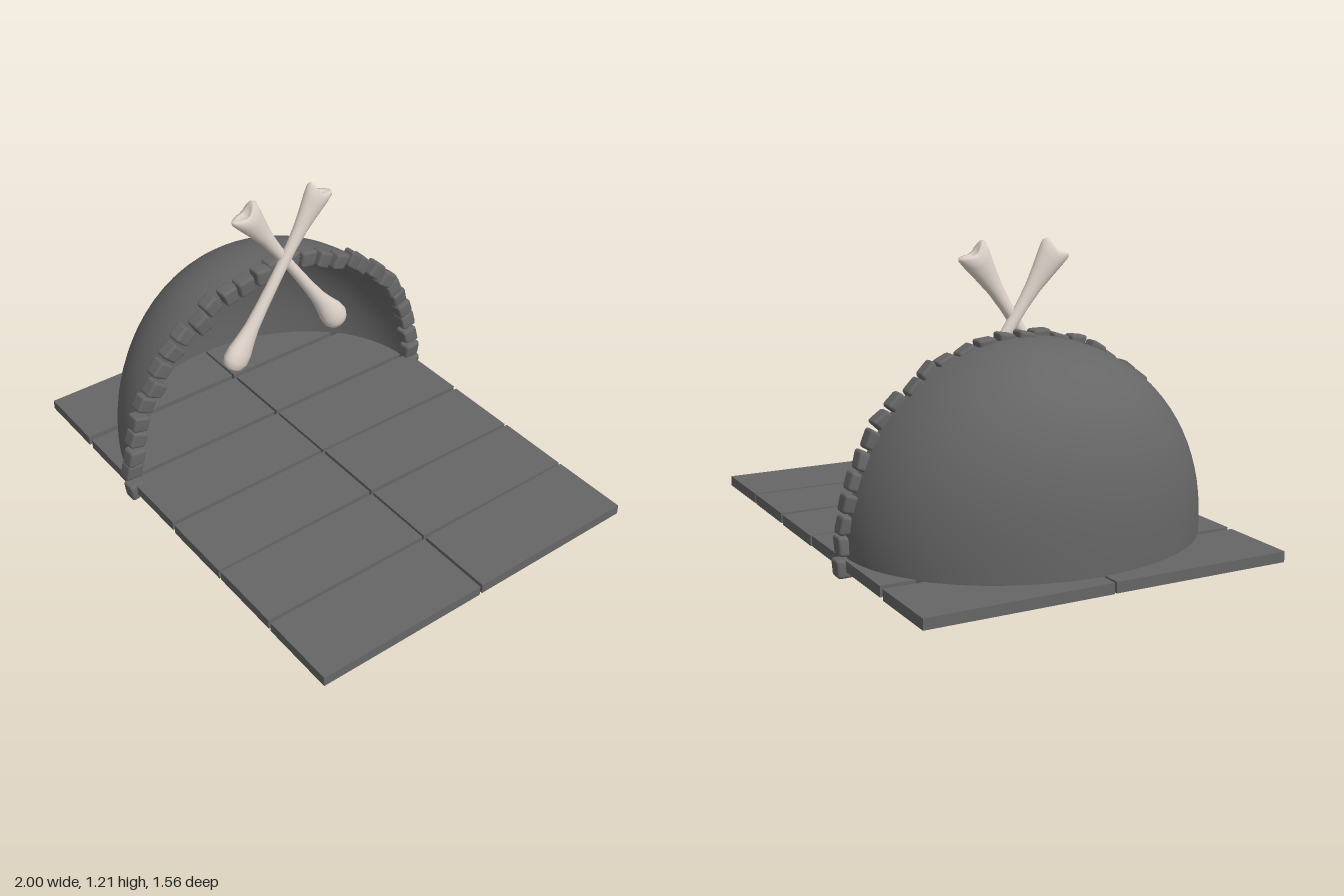
import * as THREE from 'three';
import { mergeVertices } from 'three/addons/utils/BufferGeometryUtils.js';
import { RoundedBoxGeometry } from 'three/addons/geometries/RoundedBoxGeometry.js';

const stoneMat = new THREE.MeshStandardMaterial({ color: 0x666666 });
const shellMat = new THREE.MeshStandardMaterial({ color: 0x666666, side: THREE.DoubleSide });
const boneMat = new THREE.MeshStandardMaterial({ color: 0xe0d5cc });

// Small seeded random in -1..1
let seed = 7;
const jitter = (amount) => {
  seed = (seed * 16807) % 2147483647;
  return ((seed / 2147483647) * 2 - 1) * amount;
};

function addMesh(parent, name, geometry, material) {
  const mesh = new THREE.Mesh(geometry, material);
  mesh.name = name;
  parent.add(mesh);
  return mesh;
}

// Smooth surface through a grid of points; point(i, j) returns [x, y, z]
function gridSurface(ni, nj, point) {
  const positions = [], index = [];
  for (let i = 0; i <= ni; i++) {
    for (let j = 0; j <= nj; j++) {
      positions.push(...point(i, j));
      if (i < ni && j < nj) {
        const a = i * (nj + 1) + j, b = a + nj + 1;
        index.push(a, b, a + 1, b, b + 1, a + 1);
      }
    }
  }
  const g = new THREE.BufferGeometry();
  g.setAttribute('position', new THREE.Float32BufferAttribute(positions, 3));
  g.setIndex(index);
  const merged = mergeVertices(g, 1e-5);
  merged.computeVertexNormals();
  return merged;
}

// Half dome, open towards +x: a thin shell, fuller at the back than at the rim
function domeGeometry() {
  const rows = 24, base = 0.02, mid = 0.12;
  return gridSurface(40, rows * 2 + 2, (i, j) => {
    const theta = (i / 40 - 0.5) * Math.PI;
    const inner = j > rows && j < rows * 2 + 2;
    const k = j <= rows ? j : inner ? rows * 2 + 1 - j : 0;
    const s = inner ? 0.975 : 1;
    const low = -Math.asin((mid - base) / 0.73);
    const a = low + (Math.PI / 2 - low) * (k / rows);
    const t = k === rows ? 1 : Math.sin(a);
    const y = k === 0 ? base : mid + 0.73 * t * s;
    const p = 2 + 0.6 * Math.cos(theta) ** 2;
    const f = Math.max(0, 1 - Math.abs(t) ** p) ** (1 / p);
    return [-0.32 - 0.605 * s * f * Math.cos(theta), y, 0.73 * s * f * Math.sin(theta)];
  });
}

// Rough arch stone, wider on its outer side
function archStone() {
  const g = new RoundedBoxGeometry(0.066, 0.072, 0.07, 2, 0.013);
  const pos = g.attributes.position;
  const flare = 2.2 + jitter(1.2), skew = jitter(0.2), lean = jitter(0.15);
  for (let i = 0; i < pos.count; i++) {
    const x = pos.getX(i), y = pos.getY(i), z = pos.getZ(i);
    pos.setXYZ(i, x + lean * z, y + skew * z, z * (1 + flare * y));
  }
  g.computeVertexNormals();
  return mergeNormals(g);
}

function mergeNormals(g) {
  g.deleteAttribute('uv');
  g.deleteAttribute('normal');
  const m = mergeVertices(g, 1e-5);
  m.computeVertexNormals();
  return m;
}

// Long bone from a knuckle (bottom) to a notched head (top)
function boneGeometry(bottom, top) {
  // position along the bone, half width, half depth
  const rings = [
    [0.005, 0, 0], [0, 0.025, 0.02], [0.015, 0.046, 0.035], [0.05, 0.058, 0.043], [0.1, 0.056, 0.041],
    [0.16, 0.044, 0.034], [0.24, 0.032, 0.028], [0.36, 0.026, 0.025], [0.52, 0.023, 0.023],
    [0.68, 0.025, 0.023], [0.78, 0.032, 0.026], [0.87, 0.046, 0.032], [0.94, 0.06, 0.038],
    [0.98, 0.066, 0.038], [1.0, 0.058, 0.03], [1.0, 0.035, 0.018], [0.985, 0, 0],
  ];
  const axis = top.clone().sub(bottom);
  const side = new THREE.Vector3(1, 0, 0).cross(axis).normalize();
  const depth = new THREE.Vector3(1, 0, 0);
  const n = 18;
  return gridSurface(n, rings.length - 1, (i, j) => {
    const [t, w, d] = rings[j];
    const a = ((i % n) / n) * Math.PI * 2;
    const notch = t > 0.93 ? 0.035 * Math.abs(Math.cos(a)) * (w / 0.066) - 0.02 : 0;
    return bottom.clone()
      .addScaledVector(axis, t + notch)
      .addScaledVector(side, w * Math.cos(a))
      .addScaledVector(depth, d * Math.sin(a))
      .toArray();
  });
}

export function createModel() {
  seed = 7;
  const model = new THREE.Group();
  model.name = 'stoneShelter';

  // Paved floor: six columns by two rows of slabs
  const floor = new THREE.Group();
  floor.name = 'floor';
  model.add(floor);
  const columns = [[-1, -0.68], [-0.655, -0.345], [-0.325, -0.005], [0.01, 0.328], [0.342, 0.66], [0.672, 1]];
  columns.forEach(([x0, x1], c) => {
    for (const row of [-1, 1]) {
      const slab = addMesh(floor, 'floorSlab', new THREE.BoxGeometry(x1 - x0, 0.042, 0.742), stoneMat);
      slab.position.set((x0 + x1) / 2, 0.053 + jitter(0.002), row * 0.376 + 0.003);
      slab.rotation.set(c === 3 ? row * 0.01 : 0, jitter(0.004), 0);
    }
  });

  addMesh(model, 'dome', domeGeometry(), shellMat);

  // Ring of stones around the opening
  const arch = new THREE.Group();
  arch.name = 'arch';
  model.add(arch);
  const count = 31;
  for (let i = 0; i < count; i++) {
    const a = -0.075 + (i / (count - 1)) * (Math.PI + 0.15);
    const r = 0.737 + jitter(0.007);
    const stone = addMesh(arch, 'archStone', archStone(), stoneMat);
    stone.position.set(-0.325 + jitter(0.018), 0.097 + r * Math.sin(a), r * Math.cos(a));
    stone.rotation.x = Math.PI / 2 - a + jitter(0.12);
  }

  // Crossed bones above the opening
  const bones = new THREE.Group();
  bones.name = 'crossedBones';
  model.add(bones);
  for (const [side, xLow, xHigh] of [[1, -0.25, -0.255], [-1, -0.26, -0.275]]) {
    const low = new THREE.Vector3(xLow, 0.485, side * 0.283);
    const high = new THREE.Vector3(xHigh, 1.172, side * -0.178);
    addMesh(bones, side > 0 ? 'frontBone' : 'rearBone', boneGeometry(low, high), boneMat);
  }
  return model;
}
